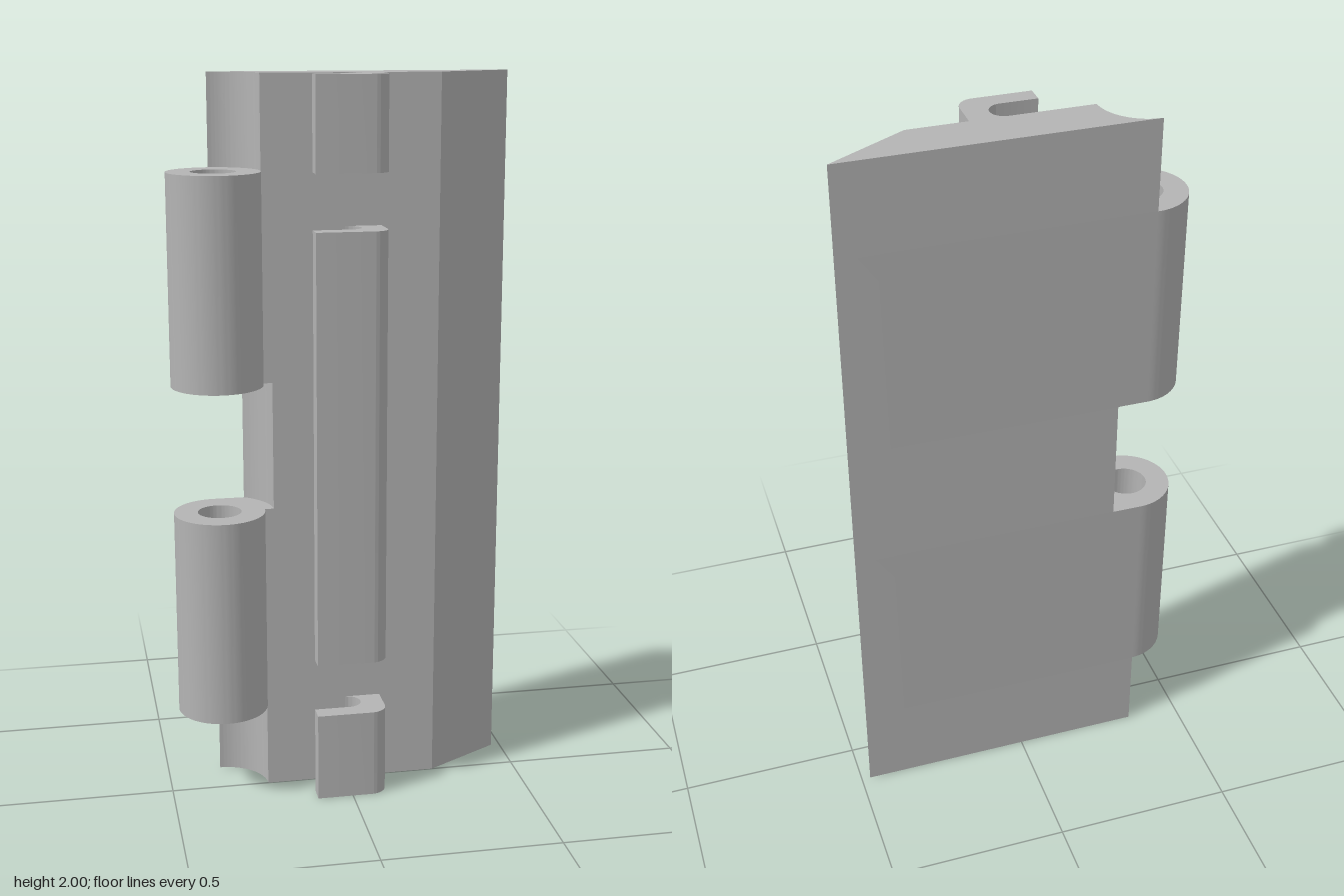
import * as THREE from 'three';
import { toCreasedNormals } from 'three/addons/utils/BufferGeometryUtils.js';

const PIN_X = -0.35, BARREL_R = 0.125, BORE_R = 0.06, THICK = 0.125;

// Plate cross-section; shape y points to the back of the model.
function plateShape(r, withBarrel) {
  const s = new THREE.Shape();
  const a = Math.asin(THICK / r);
  s.moveTo(PIN_X + r, 0);
  s.lineTo(0.26, 0);
  s.lineTo(0.475, THICK);
  s.lineTo(PIN_X + r * Math.cos(a), THICK);
  // barrel wraps outside the pin, otherwise the edge is hollowed out
  s.absarc(PIN_X, 0, r, a, withBarrel ? Math.PI * 2 : 0, !withBarrel);
  if (withBarrel) {
    const bore = new THREE.Path();
    bore.absarc(PIN_X, 0, BORE_R, 0, Math.PI * 2, true);
    s.holes.push(bore);
  }
  return s;
}

// J-shaped hook cross-section with a rounded slot and outer corner.
function hookShape() {
  const s = new THREE.Shape();
  s.moveTo(0.1, 0);
  s.lineTo(0, 0);
  s.absarc(0, -0.0375, 0.0375, Math.PI / 2, -Math.PI / 2, true);
  s.lineTo(-0.1, -0.075);
  s.lineTo(-0.1, -0.125);
  s.lineTo(0.055, -0.125);
  s.absarc(0.055, -0.08, 0.045, -Math.PI / 2, 0, false);
  s.lineTo(0.1, 0);
  return s;
}

export function createModel() {
  const group = new THREE.Group();
  const grey = new THREE.MeshStandardMaterial({ color: 0xb4b4b4 });
  grey.name = 'grey metal';

  function addSection(name, shape, y0, y1) {
    let geo = new THREE.ExtrudeGeometry(shape, { depth: y1 - y0, bevelEnabled: false, curveSegments: 40 });
    geo.rotateX(-Math.PI / 2);
    geo.translate(0, y0, 0);
    geo = toCreasedNormals(geo, 0.5);
    const mesh = new THREE.Mesh(geo, grey);
    mesh.name = name;
    group.add(mesh);
  }

  // Plate with hollowed ends, two barrels and a wider middle notch
  const end = plateShape(BARREL_R, false);
  const barrel = plateShape(BARREL_R, true);
  addSection('lowerPlateEnd', end, 0, 0.25);
  addSection('lowerBarrelPlate', barrel, 0.25, 0.825);
  addSection('middlePlate', plateShape(0.15, false), 0.825, 1.18);
  addSection('upperBarrelPlate', barrel, 1.18, 1.75);
  addSection('upperPlateEnd', end, 1.75, 2);

  // Hook rail in three lengths
  const hook = hookShape();
  addSection('lowerHook', hook, 0, 0.25);
  addSection('middleHook', hook, 0.4, 1.6);
  addSection('upperHook', hook, 1.75, 2);

  return group;
}
